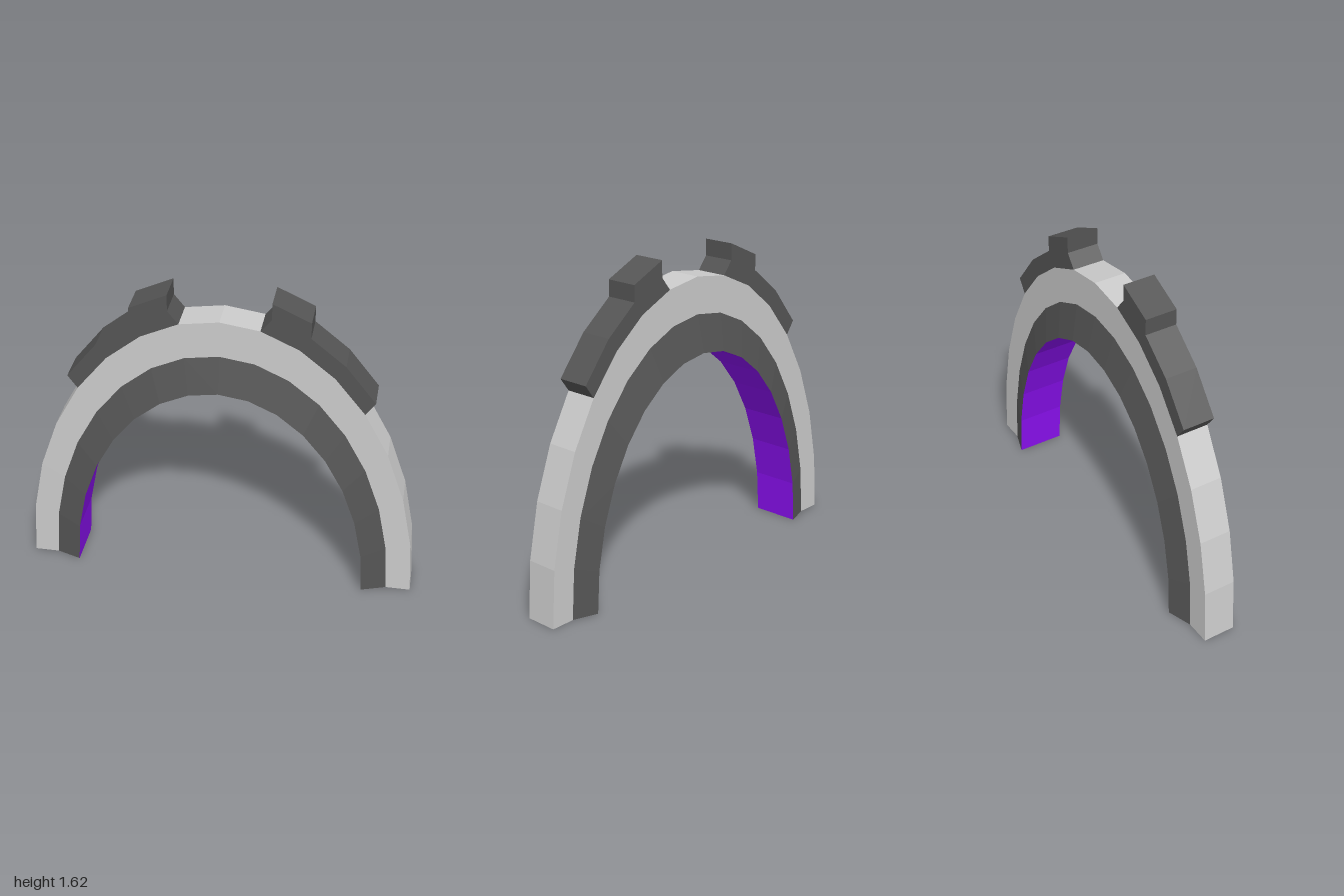
import * as THREE from 'three';

const SEGMENTS = 16, HEIGHT = 1.5, W = 0.083, FLARE = 0.125;

const material = (color) => new THREE.MeshStandardMaterial({ color, flatShading: true });

// Point on the half-ellipse arch; profile point is [scale, z]
const archPoint = (i, [r, z]) => {
  const t = (i / SEGMENTS) * Math.PI;
  return [r * Math.cos(t), Math.abs(HEIGHT * r * Math.sin(t)), z];
};

function quadMesh(name, quads, mat) {
  const positions = quads.flatMap(([a, b, c, d]) => [a, b, d, b, c, d].flat());
  const geometry = new THREE.BufferGeometry();
  geometry.setAttribute('position', new THREE.Float32BufferAttribute(positions, 3));
  geometry.computeVertexNormals();
  const mesh = new THREE.Mesh(geometry, mat);
  mesh.name = name;
  return mesh;
}

// Sweeps one edge of the cross-section along the arch
function sweep(a, b) {
  const quads = [];
  for (let i = 0; i < SEGMENTS; i++) {
    quads.push([archPoint(i, a), archPoint(i + 1, a), archPoint(i + 1, b), archPoint(i, b)]);
  }
  return quads;
}

export function createModel() {
  const group = new THREE.Group();
  group.name = 'archBand';
  const light = material(0xcccccc);
  const dark = material(0x555555);
  const purple = material(0x8a10f0);

  // Cross-section, counter-clockwise from the outer back edge
  const outB = [1, -W], outF = [1, W];
  const midF = [0.875, W], midB = [0.875, -W];
  const inF = [0.75, FLARE], inB = [0.75, -FLARE];

  // Foot faces, split at the middle of the section
  const feet = [[outB, outF, midF, midB], [midB, midF, inF, inB]].flatMap((face) => [
    face.map((p) => archPoint(0, p)),
    face.map((p) => archPoint(SEGMENTS, p)).reverse(),
  ]);

  group.add(
    quadMesh('outerBand', [...sweep(outB, outF), ...sweep(outF, midF), ...sweep(midB, outB)], light),
    quadMesh('feet', feet, light),
    quadMesh('flaredSides', [...sweep(midF, inF), ...sweep(inB, midB)], dark),
    quadMesh('innerPadding', sweep(inF, inB), purple),
  );

  // Hooked ridge plates on the shoulders; the underside follows the arch
  const top = [[0.755, 1.128], [0.604, 1.318], [0.434, 1.455], [0.434, 1.537], [0.248, 1.622], [0.248, 1.537]];
  const under = [7, 6, 5, 4].map((i) => archPoint(i, outF).slice(0, 2));
  for (const [side, name] of [[1, 'leftRidge'], [-1, 'rightRidge']]) {
    const shape = new THREE.Shape([...top, ...under].map(([x, y]) => new THREE.Vector2(side * x, y)));
    const geometry = new THREE.ExtrudeGeometry(shape, { depth: 2 * W, bevelEnabled: false });
    geometry.translate(0, 0, -W);
    const ridge = new THREE.Mesh(geometry, dark);
    ridge.name = name;
    group.add(ridge);
  }
  return group;
}
